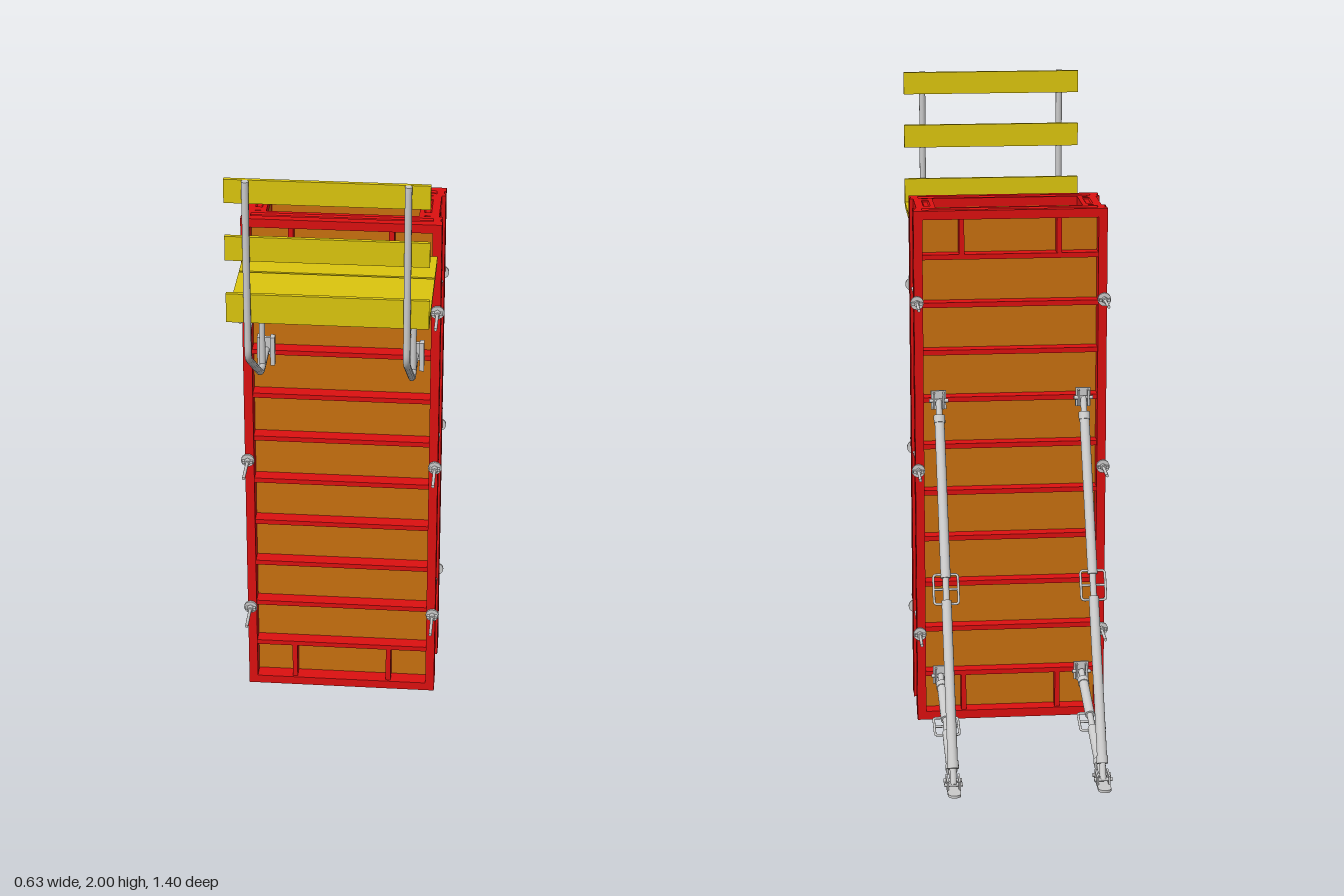
import * as THREE from 'three';

const mat = (color) => new THREE.MeshStandardMaterial({ color });
const red = mat(0xdd1010), ply = mat(0xc8700f), yellow = mat(0xdcc60e), steel = mat(0xcccccc);
const V = (x, y, z) => new THREE.Vector3(x, y, z);
const UP = V(0, 1, 0);
const H = 1.67, RAIL = 0.028, DEPTH = 0.06;

function add(parent, name, geo, material) {
  const m = new THREE.Mesh(geo, material);
  m.name = name;
  parent.add(m);
  return m;
}

// Box given by its min and max corners
function box(parent, name, material, x0, x1, y0, y1, z0, z1) {
  const m = add(parent, name, new THREE.BoxGeometry(x1 - x0, y1 - y0, z1 - z0), material);
  m.position.set((x0 + x1) / 2, (y0 + y1) / 2, (z0 + z1) / 2);
  return m;
}

// Capped round bar between two points
function rod(parent, name, a, b, r, sides = 16) {
  const d = b.clone().sub(a);
  const m = add(parent, name, new THREE.CylinderGeometry(r, r, d.length(), sides), steel);
  m.position.copy(a).add(b).multiplyScalar(0.5);
  m.quaternion.setFromUnitVectors(UP, d.normalize());
  return m;
}

// Tube through corner points, each inner corner rounded by a bend
function bentTube(parent, name, pts, bend, r, closed = false) {
  const path = new THREE.CurvePath();
  const n = pts.length;
  const toward = (a, b) => a.clone().add(b.clone().sub(a).setLength(bend));
  let last = closed ? toward(pts[0], pts[1]) : pts[0];
  const first = last;
  for (let i = 1; i < (closed ? n + 1 : n - 1); i++) {
    const c = pts[i % n], s = toward(c, pts[(i - 1) % n]), e = toward(c, pts[(i + 1) % n]);
    path.add(new THREE.LineCurve3(last, s));
    path.add(new THREE.QuadraticBezierCurve3(s, c, e));
    last = e;
  }
  if (!closed) path.add(new THREE.LineCurve3(last, pts[n - 1]));
  else last.copy(first);
  return add(parent, name, new THREE.TubeGeometry(path, 90, r, 10, closed), steel);
}

// Grooved edge rail running up y; its outer side is at x = 0, inner side toward +x
function railGeometry(length) {
  const s = new THREE.Shape([
    [0, 0], [RAIL, 0], [RAIL, DEPTH], [0, DEPTH], [0, 0.036], [0.005, 0.032], [0.005, 0.018], [0, 0.014],
  ].map(([x, z]) => new THREE.Vector2(x, -z)));
  return new THREE.ExtrudeGeometry(s, { depth: length, bevelEnabled: false }).rotateX(-Math.PI / 2);
}

// Framed panel: plywood face at z = 0, ribs and rails reaching out to z = DEPTH
function panel(name, w, stubs) {
  const g = new THREE.Group();
  g.name = name;
  const h = w / 2;
  box(g, 'plywood', ply, -h + 0.004, h - 0.004, 0.004, H - 0.004, 0.0005, 0.012);
  const up = railGeometry(H), across = railGeometry(w - 0.012);
  add(g, 'edgeRail', up, red).position.x = -h;
  const other = add(g, 'edgeRail', up.clone().rotateZ(Math.PI), red);
  other.position.set(h, H, 0);
  const low = add(g, 'bottomRail', across.clone().rotateZ(Math.PI / 2), red);
  low.position.x = h - 0.006;
  const high = add(g, 'topRail', across.clone().rotateZ(-Math.PI / 2), red);
  high.position.set(-h + 0.006, H, 0);
  // Horizontal ribs
  for (let i = 0; i < 10; i++) {
    const y = 0.155 + i * 0.152;
    box(g, 'rib', red, -h + RAIL, h - RAIL, y - 0.008, y + 0.008, 0.012, 0.054);
  }
  // Short uprights in the lowest and highest bays
  if (stubs) for (const x of [-0.152, 0.152]) {
    box(g, 'shortUpright', red, x - 0.008, x + 0.008, RAIL, 0.15, 0.012, 0.052);
    box(g, 'shortUpright', red, x - 0.008, x + 0.008, 1.525, H - RAIL, 0.012, 0.052);
  }
  return g;
}

// Tie rod with a washer plate and nut on each end
function tie(x, y) {
  const g = new THREE.Group();
  g.name = 'tieRod';
  rod(g, 'rod', V(x, y, -0.16), V(x, y, 0.345), 0.005, 10);
  for (const [z, s] of [[0.226, 1], [-0.047, -1]]) {
    rod(g, 'washer', V(x, y, z), V(x, y, z + s * 0.007), 0.021, 20);
    rod(g, 'nut', V(x, y, z + s * 0.007), V(x, y, z + s * 0.024), 0.01, 6);
    for (const k of [-1, 1])
      box(g, 'nutWing', steel, x + k * 0.012 - 0.005, x + k * 0.012 + 0.005, y - 0.004, y + 0.004,
        z + s * 0.013 - 0.006, z + s * 0.013 + 0.006);
  }
  return g;
}

// Adjustable prop from the wall (a) to the foot (b), with a turnbuckle loop at mid length
function prop(name, a, b) {
  const g = new THREE.Group();
  g.name = name;
  const d = b.clone().sub(a), L = d.length();
  g.position.copy(a);
  g.quaternion.setFromUnitVectors(UP, d.normalize());
  const m = L / 2;
  rod(g, 'spindle', V(0, 0, 0), V(0, L, 0), 0.01);
  rod(g, 'upperTube', V(0, 0.06, 0), V(0, m - 0.035, 0), 0.0155);
  rod(g, 'lowerTube', V(0, m + 0.035, 0), V(0, L - 0.06, 0), 0.0155);
  bentTube(g, 'turnbuckleLoop', [V(-0.038, m - 0.046, 0), V(0.038, m - 0.046, 0),
    V(0.038, m + 0.046, 0), V(-0.038, m + 0.046, 0)], 0.01, 0.004, true);
  rod(g, 'turnbuckleBar', V(-0.038, m, 0), V(0.038, m, 0), 0.004, 8);
  for (const y of [0.06, L - 0.06]) rod(g, 'collar', V(0, y - 0.012, 0), V(0, y + 0.012, 0), 0.018);
  return g;
}

// Two cheeks and a pin holding a prop to the back panel
function wallHinge(x, y) {
  const g = new THREE.Group();
  g.name = 'wallHinge';
  box(g, 'plate', steel, x - 0.024, x + 0.024, y - 0.03, y + 0.03, -0.053, -0.046);
  for (const s of [-1, 1])
    box(g, 'cheek', steel, x + s * 0.015 - 0.003, x + s * 0.015 + 0.003, y - 0.025, y + 0.025, -0.073, -0.05);
  rod(g, 'pin', V(x - 0.03, y, -0.061), V(x + 0.03, y, -0.061), 0.006, 10);
  return g;
}

// Ground plate with a rounded tip and hinge cheeks
function foot(x) {
  const g = new THREE.Group();
  g.name = 'propFoot';
  box(g, 'basePlate', steel, x - 0.02, x + 0.02, 0, 0.008, -0.68, -0.58);
  rod(g, 'plateTip', V(x, 0, -0.68), V(x, 0.008, -0.68), 0.02, 20);
  for (const s of [-1, 1])
    box(g, 'cheek', steel, x + s * 0.018 - 0.003, x + s * 0.018 + 0.003, 0.004, 0.034, -0.655, -0.59);
  for (const z of [-0.605, -0.64]) rod(g, 'pin', V(x - 0.028, 0.02, z), V(x + 0.028, 0.02, z), 0.006, 10);
  return g;
}

// Bent tube bracket carrying the walkway and its guard rail
function bracket(x) {
  const g = new THREE.Group();
  g.name = 'walkwayBracket';
  bentTube(g, 'postAndBrace', [V(x, 1.995, 0.692), V(x, 1.445, 0.692), V(x, 1.238, 0.39), V(x, 1.238, 0.235)], 0.035, 0.0105);
  rod(g, 'postCap', V(x, 1.985, 0.692), V(x, 2, 0.692), 0.0105);
  rod(g, 'deckBearer', V(x, 1.54, 0.226), V(x, 1.54, 0.692), 0.0105);
  rod(g, 'strut', V(x, 1.238, 0.34), V(x, 1.54, 0.34), 0.009);
  for (const s of [-1, 1])
    box(g, 'claw', steel, x + s * 0.02 - 0.007, x + s * 0.02 + 0.007, 1.19, 1.285, 0.226, 0.25);
  box(g, 'clawBridge', steel, x - 0.02, x + 0.02, 1.222, 1.28, 0.228, 0.24);
  return g;
}

export function createModel() {
  const model = new THREE.Group();
  model.name = 'columnFormwork';

  // Four panels forming an open shaft
  const front = panel('frontPanel', 0.604, true);
  front.position.z = 0.166;
  const back = panel('backPanel', 0.604, true);
  back.rotation.y = Math.PI;
  back.position.z = 0.013;
  model.add(front, back);
  for (const s of [-1, 1]) {
    const side = panel(s > 0 ? 'leftPanel' : 'rightPanel', 0.153, false);
    side.rotation.y = s * Math.PI / 2;
    side.position.set(s * 0.23, 0, 0.0895);
    model.add(side);
  }

  // Ties, props and brackets on both sides
  for (const s of [-1, 1]) {
    const x = s * 0.228;
    for (const y of [0.295, 0.84, 1.382]) model.add(tie(s * 0.293, y));
    model.add(prop('longProp', V(x, 1.07, -0.061), V(x, 0.02, -0.64)));
    model.add(prop('shortProp', V(x, 0.155, -0.061), V(x, 0.02, -0.605)));
    model.add(wallHinge(x, 1.07), wallHinge(x, 0.155), foot(x), bracket(x));
  }

  // Walkway planks and guard boards
  for (const [z0, z1] of [[0.227, 0.371], [0.379, 0.526], [0.528, 0.671]])
    box(model, 'deckPlank', yellow, -0.29, 0.29, 1.551, 1.567, z0, z1);
  for (const [y0, y1] of [[1.555, 1.645], [1.75, 1.825], [1.928, 2]])
    box(model, 'guardBoard', yellow, -0.29, 0.29, y0, y1, 0.671, 0.683);
  return model;
}
